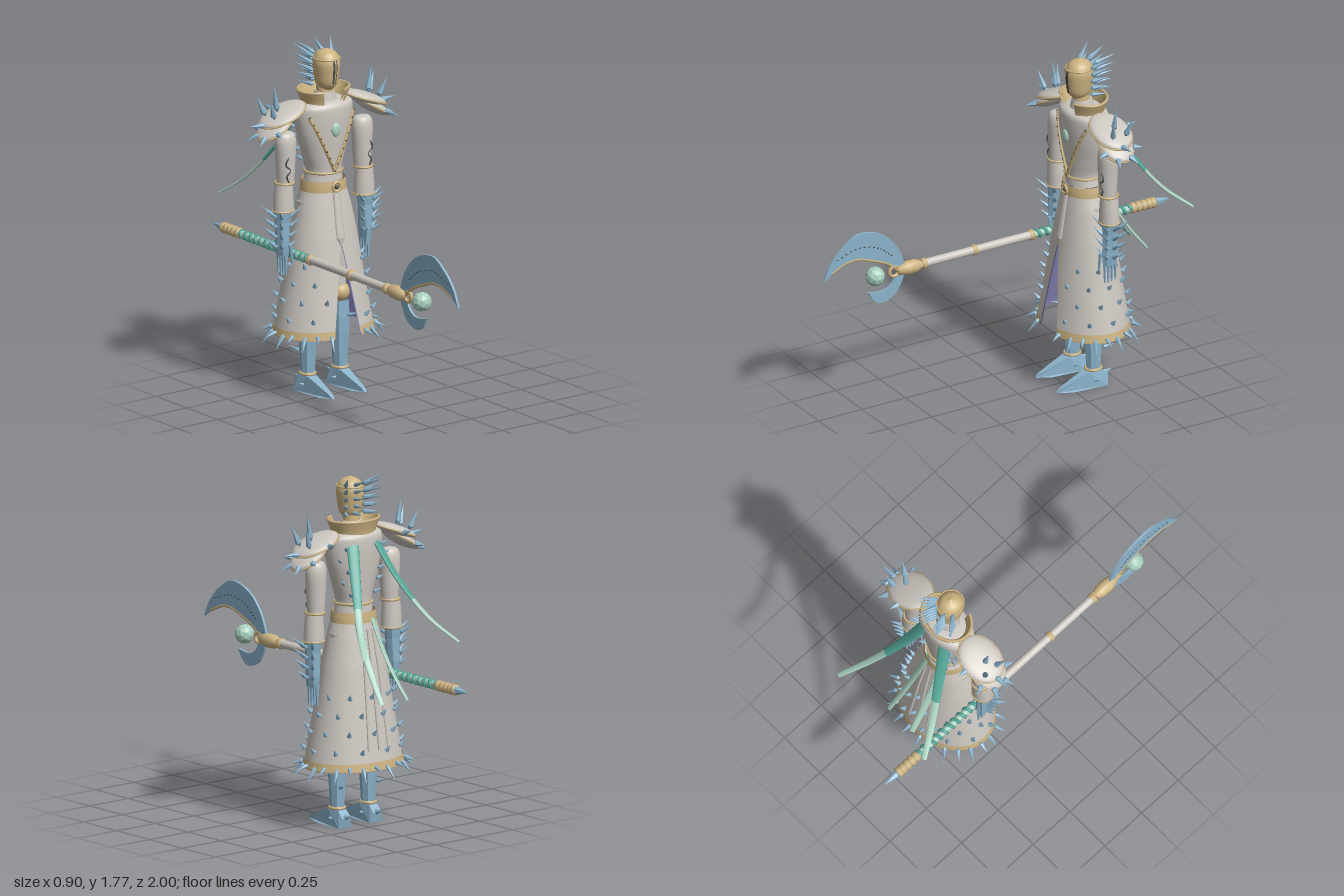
import * as THREE from 'three';
import { ParametricGeometry } from 'three/addons/geometries/ParametricGeometry.js';

const V = (x, y, z) => new THREE.Vector3(x, y, z);
const mat = (name, color, side = THREE.FrontSide) => new THREE.MeshStandardMaterial({ name, color, side });
const CZ = -0.375; // depth of the body's axis

export function createModel() {
  const root = new THREE.Group();
  root.name = 'armouredStaffBearer';
  const ivory = mat('ivory', 0xcdc7c0, THREE.DoubleSide);
  const gold = mat('gold', 0xcdb482, THREE.DoubleSide);
  const blue = mat('steelBlue', 0x8cb3cb, THREE.DoubleSide);
  const teal = mat('teal', 0x55a798, THREE.DoubleSide);
  const mint = mat('mint', 0xa9d0bf, THREE.DoubleSide);
  const purple = mat('purple', 0x8380b2, THREE.DoubleSide);
  const dark = mat('dark', 0x4c4e49);

  const group = (name, parent = root) => {
    const g = new THREE.Group();
    g.name = name;
    parent.add(g);
    return g;
  };
  const add = (parent, name, geo, m, x = 0, y = 0, z = 0) => {
    const mesh = new THREE.Mesh(geo, m);
    mesh.name = name;
    mesh.position.set(x, y, z);
    parent.add(mesh);
    return mesh;
  };
  const facet = (geo) => {
    const g = geo.index ? geo.toNonIndexed() : geo;
    g.computeVertexNormals();
    return g;
  };
  // Smooth stack of ellipses, rows are [y, radiusX, radiusZ]
  const loft = (rows, n = 32, a0 = 0, a1 = Math.PI * 2, nv = 20) => {
    const c = new THREE.CatmullRomCurve3(rows.map(([y, rx, rz]) => V(rx, y, rz)));
    const p = V(0, 0, 0);
    return new ParametricGeometry((u, v, t) => {
      c.getPoint(v, p);
      const a = a0 + (a1 - a0) * u;
      t.set(p.x * Math.sin(a), p.y, p.z * Math.cos(a));
    }, n, nv);
  };
  const tube = (pts, r, n = 24, closed = false) =>
    new THREE.TubeGeometry(new THREE.CatmullRomCurve3(pts, closed), n, r, 6, closed);
  // Ring lying flat, stretched to an ellipse
  const ring = (parent, name, x, y, z, rx, rz, r) => {
    const pts = Array.from({ length: 24 }, (_, i) =>
      V(rx * Math.sin(i * Math.PI / 12), 0, rz * Math.cos(i * Math.PI / 12)));
    return add(parent, name, tube(pts, r, 40, true), gold, x, y, z);
  };
  const spikeGeo = facet(new THREE.LatheGeometry(
    [[0.01, 0], [1, 0.2], [0.55, 0.55], [0.01, 1]].map((p) => new THREE.Vector2(...p)), 6));
  const spike = (parent, pos, dir, len, r = len * 0.16) => {
    const s = add(parent, 'spike', spikeGeo, blue);
    s.position.copy(pos);
    s.scale.set(r, len, r);
    s.quaternion.setFromUnitVectors(V(0, 1, 0), dir.clone().normalize());
  };

  // Torso
  const torso = group('torso');
  const torsoRows = [[1.08, 0.1, 0.09], [1.13, 0.093, 0.088], [1.22, 0.118, 0.095], [1.33, 0.15, 0.104],
    [1.42, 0.163, 0.108], [1.465, 0.16, 0.104], [1.485, 0.125, 0.085], [1.495, 0.002, 0.002]];
  add(torso, 'chest', loft(torsoRows, 40, 0, Math.PI * 2, 32), ivory, 0, 0, CZ);
  const at = (rows, y) => {
    const i = Math.max(1, rows.findIndex((r) => r[0] >= y)), a = rows[i - 1], b = rows[i];
    const t = (y - a[0]) / (b[0] - a[0]);
    return [a[1] + (b[1] - a[1]) * t, a[2] + (b[2] - a[2]) * t];
  };
  const chestPoint = (x, y, lift = 0.004) => {
    const [rx, rz] = at(torsoRows, y);
    return V(x, y, CZ + rz * Math.sqrt(Math.max(0, 1 - (x / rx) ** 2)) + lift);
  };
  ring(torso, 'waistTrim', 0, 1.125, CZ, 0.097, 0.091, 0.007);
  for (const s of [-1, 1]) {
    const line = Array.from({ length: 9 }, (_, i) => chestPoint(s * 0.135 * i / 8, 1.135 + 0.29 * i / 8));
    add(torso, 'chestTrim', tube(line, 0.009), gold);
    line.forEach((p) => add(torso, 'trimBead', new THREE.SphereGeometry(0.005, 6, 4), dark, p.x, p.y, p.z + 0.007));
    // Spikes beside the spine
    for (let i = 0; i < 5; i++) {
      const y = 1.17 + i * 0.06, a = Math.PI - s * (0.75 + 0.25 * (i % 2)), [rx, rz] = at(torsoRows, y);
      spike(torso, V(rx * Math.sin(a), y, CZ + rz * Math.cos(a)), V(Math.sin(a), 0.5, Math.cos(a)), 0.05, 0.011);
    }
  }
  const gem = add(torso, 'chestGem', new THREE.SphereGeometry(1, 16, 12), mint, 0, 1.35, CZ + 0.105);
  gem.scale.set(0.027, 0.036, 0.014);

  // Belt and buckle
  add(torso, 'belt', loft([[1.03, 0.122, 0.106], [1.055, 0.12, 0.105], [1.085, 0.115, 0.102]], 40), gold, 0, 0, CZ);
  add(torso, 'buckleRing', new THREE.TorusGeometry(0.023, 0.007, 8, 20), gold, 0, 1.057, CZ + 0.11);
  add(torso, 'buckleCentre', new THREE.SphereGeometry(0.012, 10, 8), dark, 0, 1.057, CZ + 0.108);

  // Split robe skirt with a coloured lining
  const skirt = group('skirt');
  const skirtRows = [[0.31, 0.27, 0.212], [0.6, 0.214, 0.172], [0.8, 0.18, 0.143], [0.95, 0.148, 0.117], [1.05, 0.115, 0.1]];
  const skirtPoint = (a, y, off = 0) => {
    const [rx, rz] = at(skirtRows, Math.max(y, 0.311));
    return V((rx + off) * Math.sin(a), y, CZ + (rz + off) * Math.cos(a));
  };
  const split = (y) => Math.asin(Math.max(0, 0.8 - y) * 0.165 / at(skirtRows, Math.max(y, 0.311))[0]);
  const robe = (y0, y1, off) => new ParametricGeometry((u, v, t) => {
    const y = y0 + (y1 - y0) * v, a0 = split(y);
    t.copy(skirtPoint(a0 + (2 * Math.PI - 2 * a0) * u, y, off));
  }, 64, 20);
  add(skirt, 'robe', robe(0.31, 1.05, 0), ivory);
  add(skirt, 'lining', robe(0.3, 1.0, -0.007), purple);
  add(skirt, 'hem', robe(0.305, 0.348, 0.004), gold);
  const panel = add(skirt, 'frontPleat', new THREE.CylinderGeometry(0.02, 0.026, 0.24, 10), ivory, 0, 0.92, CZ + 0.122);
  panel.scale.z = 0.5;
  panel.rotation.x = -0.16;
  const pleatTip = add(skirt, 'pleatTip', new THREE.ConeGeometry(0.026, 0.05, 10), ivory, 0, 0.778, CZ + 0.145);
  pleatTip.scale.z = 0.5;
  pleatTip.rotation.x = Math.PI - 0.16;
  for (const a of [-0.25, 0, 0.25]) {
    const pts = [0.4, 0.6, 0.8, 1.0].map((y) => skirtPoint(Math.PI + a, y));
    add(skirt, 'backPleat', tube(pts, 0.007), ivory);
  }
  for (let i = 0; i < 22; i++) {
    const a = 0.38 + (i / 21) * (2 * Math.PI - 0.76);
    spike(skirt, skirtPoint(a, 0.33), V(Math.sin(a), i % 2 ? -1.2 : -0.35, Math.cos(a)), i % 2 ? 0.095 : 0.07, 0.012);
  }
  for (let row = 0; row < 4; row++) {
    for (let i = 0; i < 10; i++) {
      const a = 0.5 + (i + (row % 2) * 0.5) * 0.56, y = 0.39 + row * 0.09;
      spike(skirt, skirtPoint(a, y), V(Math.sin(a), 1.1, Math.cos(a)), 0.048, 0.013);
    }
  }

  // Collar and neck
  const headGroup = group('headAndCollar');
  const collarRows = [[1.455, 0.115, 0.095], [1.49, 0.122, 0.098], [1.545, 0.145, 0.113]];
  add(headGroup, 'collar', loft(collarRows, 36, 0.5, 2 * Math.PI - 0.5), gold, 0, 0, CZ);
  add(headGroup, 'collarInner', loft(collarRows.map(([y, x, z]) => [y, x - 0.014, z - 0.014]), 36, 0.5, 2 * Math.PI - 0.5), gold, 0, 0, CZ);
  const rim = Array.from({ length: 25 }, (_, i) => {
    const a = 0.5 + (i / 24) * (2 * Math.PI - 1);
    return V(0.139 * Math.sin(a), 1.545, CZ + 0.107 * Math.cos(a));
  });
  add(headGroup, 'collarRim', tube(rim, 0.008, 48), gold);
  add(headGroup, 'neck', new THREE.CylinderGeometry(0.05, 0.065, 0.07, 20), ivory, 0, 1.5, -0.365);
  add(headGroup, 'throat', new THREE.CylinderGeometry(0.042, 0.045, 0.05, 20), gold, 0, 1.55, -0.36);

  // Helmeted head with face slit
  const headRows = [[1.545, 0.03, 0.035], [1.575, 0.052, 0.06], [1.63, 0.062, 0.07], [1.69, 0.066, 0.072],
    [1.73, 0.048, 0.052], [1.753, 0.002, 0.002]];
  add(headGroup, 'head', loft(headRows, 28), gold, 0, 0, -0.35);
  add(headGroup, 'faceSlit', loft([[1.58, 0.056, 0.065], [1.63, 0.064, 0.073], [1.68, 0.068, 0.075], [1.71, 0.062, 0.068]], 6, -0.19, 0.19), dark, 0, 0, -0.35);
  add(headGroup, 'noseGuard', loft([[1.58, 0.057, 0.068], [1.63, 0.065, 0.077], [1.68, 0.07, 0.08], [1.72, 0.06, 0.066]], 4, -0.05, 0.05), gold, 0, 0, -0.35);
  ring(headGroup, 'browBand', 0, 1.705, -0.35, 0.064, 0.07, 0.005);
  for (const s of [-1, 1]) {
    for (let i = 0; i < 5; i++) {
      const y = 1.57 + i * 0.034;
      spike(headGroup, V(s * 0.052, y, -0.375), V(s * 0.6, 0.1 + i * 0.13, -0.9), 0.09 + i * 0.01, 0.012);
      spike(headGroup, V(s * 0.025, y + 0.01, -0.405), V(s * 0.25, 0.05 + i * 0.08, -1), 0.1 + i * 0.008, 0.012);
    }
  }

  for (const s of [-1, 1]) {
    const side = s > 0 ? 'left' : 'right';

    // Layered shoulder guards
    const shoulder = group(side + 'Shoulder');
    for (const [x, y, rx, rz, tilt] of [[0.25, 1.45, 0.13, 0.1, 0.36], [0.3, 1.395, 0.105, 0.085, 0.55]]) {
      const pad = group('shoulderPad', shoulder);
      pad.position.set(s * x, y, -0.38);
      pad.rotation.z = -s * tilt;
      add(pad, 'plate', new THREE.SphereGeometry(1, 28, 14), ivory).scale.set(rx, 0.028, rz);
      ring(pad, 'plateTrim', 0, -0.004, 0, rx, rz, 0.005);
    }
    [[0.28, 1.46, 0, 0.15, 1, 0, 0.15], [0.32, 1.44, 0.03, 0.4, 1, 0.2, 0.12], [0.32, 1.44, -0.04, 0.4, 1, -0.2, 0.12],
      [0.35, 1.41, 0, 1, 0.1, 0, 0.1], [0.37, 1.36, 0.03, 1, -0.5, 0.4, 0.07], [0.37, 1.36, -0.03, 1, -0.5, -0.4, 0.07],
      [0.33, 1.38, 0.07, 0.4, -0.1, 1, 0.06], [0.33, 1.38, -0.07, 0.4, -0.1, -1, 0.06], [0.24, 1.45, -0.09, 0.1, 0.3, -1, 0.06]]
      .forEach(([x, y, z, dx, dy, dz, l]) => spike(shoulder, V(s * x, y, z - 0.38), V(s * dx, dy, dz), l, 0.016));

    // Arm sleeve and cuff
    const arm = group(side + 'Arm');
    add(arm, 'upperArm', loft([[1.09, 0.043, 0.043], [1.2, 0.05, 0.048], [1.32, 0.055, 0.048], [1.352, 0.042, 0.036], [1.362, 0.002, 0.002]], 24),
      ivory, s * 0.238, 0, -0.37);
    const crack = [[0.25, 1.24], [0.268, 1.2], [0.24, 1.17], [0.262, 1.14], [0.25, 1.11]].map(([x, y]) => V(s * x, y, -0.326));
    add(arm, 'sleeveCrack', tube(crack, 0.004), dark);
    ring(arm, 'elbowTrim', s * 0.243, 1.1, -0.37, 0.046, 0.046, 0.007);
    add(arm, 'cuff', loft([[0.955, 0.055, 0.05], [1.02, 0.052, 0.048], [1.095, 0.045, 0.044]], 24), ivory, s * 0.25, 0, -0.37);
    ring(arm, 'cuffTrim', s * 0.25, 0.958, -0.37, 0.055, 0.05, 0.005);

    // Gauntlet, fingers and spikes
    add(arm, 'gauntlet', facet(loft([[0.73, 0.024, 0.04], [0.8, 0.032, 0.045], [0.88, 0.034, 0.038], [0.97, 0.047, 0.046]], 8, 0, Math.PI * 2, 4)),
      blue, s * 0.258, 0, -0.37);
    for (let i = 0; i < 4; i++) {
      add(arm, 'finger', facet(new THREE.CylinderGeometry(0.011, 0.005, 0.13 - 0.012 * Math.abs(i - 1), 6)), blue,
        s * 0.256, 0.69, -0.342 - i * 0.02);
    }
    add(arm, 'thumb', facet(new THREE.CylinderGeometry(0.011, 0.005, 0.1, 6)), blue, s * 0.235, 0.74, -0.325).rotation.z = s * -0.15;
    for (let i = 0; i < 4; i++) {
      const y = 0.77 + i * 0.05;
      [[1, 0], [0.7, 0.7], [0.7, -0.7], [-0.8, 0.5]].forEach(([x, z]) =>
        spike(arm, V(s * (0.258 + x * 0.027), y, -0.37 + z * 0.035), V(s * x, 0.75, z), 0.06 + i * 0.012, 0.011));
    }

    // Leg, greave and pointed shoe
    const leg = group(side + 'Leg');
    add(leg, 'thigh', new THREE.CylinderGeometry(0.055, 0.045, 0.48, 16), ivory, s * 0.09, 0.74, -0.38);
    add(leg, 'knee', new THREE.SphereGeometry(0.05, 16, 12), gold, s * 0.096, 0.48, -0.365);
    add(leg, 'greave', facet(loft([[0.1, 0.034, 0.038], [0.22, 0.04, 0.045], [0.33, 0.046, 0.052], [0.44, 0.042, 0.046]], 8, 0, Math.PI * 2, 4)),
      blue, s * 0.1, 0, -0.37);
    ring(leg, 'anklet', s * 0.1, 0.095, -0.37, 0.036, 0.04, 0.008);
    [[0.2, -1], [0.29, -1], [0.36, -1], [0.36, 1]].forEach(([y, z]) =>
      spike(leg, V(s * 0.115, y, -0.37 + z * 0.038), V(s * 0.5, 0.35, z), 0.07, 0.011));
    const profile = new THREE.Shape([[-0.43, 0], [-0.24, 0], [-0.16, 0.008], [-0.18, 0.025], [-0.33, 0.085], [-0.41, 0.085], [-0.44, 0.05]]
      .map((p) => new THREE.Vector2(...p)));
    const shoe = new THREE.ExtrudeGeometry(profile, { depth: 0.09, bevelEnabled: false, steps: 2 });
    shoe.translate(0, 0, -0.045).rotateY(-Math.PI / 2);
    const p = shoe.attributes.position;
    for (let i = 0; i < p.count; i++) {
      const z = p.getZ(i), y = p.getY(i);
      const w = z > -0.3 ? Math.max(0.1, (-0.14 - z) / 0.16) : 0.95;
      p.setX(i, p.getX(i) * w * (y > 0.04 ? 0.62 : 1));
    }
    add(leg, 'shoe', facet(shoe), blue, s * 0.1, 0, 0);
    spike(leg, V(s * 0.1, 0.05, -0.42), V(0, 0.25, -1), 0.06, 0.016);
    for (const d of [-1, 1]) spike(leg, V(s * 0.1 + d * 0.03, 0.04, -0.36), V(d, 0.3, -0.3), 0.03, 0.01);

    // Trailing ribbons, darker near the body
    const ribbon = (name, pts, w0, w1, t0, t1, m) => {
      const c = new THREE.CatmullRomCurve3(pts), q = V(0, 0, 0);
      add(root, name, new ParametricGeometry((u, v, t) => {
        c.getPoint(t0 + (t1 - t0) * v, q);
        const a = u * Math.PI * 2, w = w0 + (w1 - w0) * v;
        t.set(q.x + w * Math.cos(a), q.y + 0.25 * w * Math.sin(a), q.z + s * 0.45 * w * Math.cos(a) - 0.3 * w * Math.sin(a));
      }, 12, 16), m);
    };
    const upper = [V(s * 0.07, 1.45, -0.45), V(s * 0.135, 1.25, -0.555), V(s * 0.225, 1.06, -0.69), V(s * 0.305, 0.95, -0.82)];
    ribbon('upperRibbon', upper, 0.03, 0.02, 0, 0.5, teal);
    ribbon('upperRibbonEnd', upper, 0.018, 0.012, 0.5, 1, mint);
    ribbon('lowerRibbon', [V(s * 0.045, 1.06, -0.46), V(s * 0.06, 0.89, -0.535), V(s * 0.07, 0.77, -0.61), V(s * 0.083, 0.665, -0.69)],
      0.02, 0.012, 0, 1, mint);
  }

  // Staff, built along y and laid forward
  const staff = group('staff');
  staff.position.set(-0.21, 0.735, 0);
  staff.rotation.x = Math.PI / 2;
  const lathe = (name, pts, m, y = 0) =>
    add(staff, name, new THREE.LatheGeometry(pts.map((q) => new THREE.Vector2(...q)), 16), m, 0, y, 0);
  lathe('shaft', [[0.021, -0.21], [0.021, 0.43]], ivory);
  lathe('gripCore', [[0.018, -0.9], [0.018, -0.2]], mint);
  const wrap = Array.from({ length: 113 }, (_, i) =>
    V(0.016 * Math.cos(i * Math.PI / 4), -0.2 - 0.57 * i / 112, 0.016 * Math.sin(i * Math.PI / 4)));
  add(staff, 'gripWrap', tube(wrap, 0.0105, 220), teal);
  for (const y of [0.42, 0.13, -0.2, -0.785, -0.815, -0.845, -0.875, -0.9]) {
    lathe('staffRing', [[0.018, -0.014], [0.027, -0.009], [0.027, 0.009], [0.018, 0.014]], gold, y);
  }
  lathe('socket', [[0.022, 0.44], [0.034, 0.47], [0.036, 0.52], [0.024, 0.57], [0.001, 0.575]], gold);
  spike(staff, V(0, -0.9, 0), V(0, -1, 0), 0.1, 0.022);

  // Crescent blade, lower hook, trim and orb
  const bladeGroup = group('staffHead');
  const blade = (name, outer, inner) => {
    const sh = new THREE.Shape();
    sh.moveTo(...outer[0]);
    sh.splineThru(outer.slice(1).map((q) => new THREE.Vector2(...q)));
    sh.splineThru(inner.map((q) => new THREE.Vector2(...q)));
    const g = new THREE.ExtrudeGeometry(sh, { depth: 0.012, bevelEnabled: false, curveSegments: 20 });
    add(bladeGroup, name, facet(g.rotateY(-Math.PI / 2)), blue, -0.204, 0, 0);
  };
  const innerEdge = [[0.95, 0.81], [0.87, 0.845], [0.8, 0.85], [0.71, 0.82], [0.63, 0.785], [0.57, 0.735]];
  blade('crescentBlade', [[0.525, 0.745], [0.57, 0.86], [0.66, 0.955], [0.79, 0.99], [0.89, 0.935], [0.96, 0.86], [1, 0.775]], innerEdge);
  blade('lowerHook', [[0.74, 0.655], [0.71, 0.605], [0.66, 0.582], [0.59, 0.61], [0.545, 0.68], [0.53, 0.735]],
    [[0.58, 0.715], [0.61, 0.67], [0.66, 0.645], [0.74, 0.655]]);
  add(bladeGroup, 'bladeTrim', tube(innerEdge.map(([z, y]) => V(-0.21, y + 0.003, z)), 0.009, 30), gold);
  const engraving = new THREE.CatmullRomCurve3([V(0, 0.88, 0.92), V(0, 0.915, 0.8), V(0, 0.885, 0.68), V(0, 0.83, 0.61)]);
  engraving.getPoints(14).forEach((q) => add(bladeGroup, 'engravedDot', new THREE.BoxGeometry(0.016, 0.005, 0.01), dark, -0.21, q.y, q.z));
  add(bladeGroup, 'bladeRing', new THREE.TorusGeometry(0.027, 0.009, 8, 20), gold, -0.21, 0.735, 0.59).rotation.y = Math.PI / 2;
  add(bladeGroup, 'orb', facet(new THREE.IcosahedronGeometry(0.05, 1)), mint, -0.21, 0.735, 0.7);

  return root;
}
